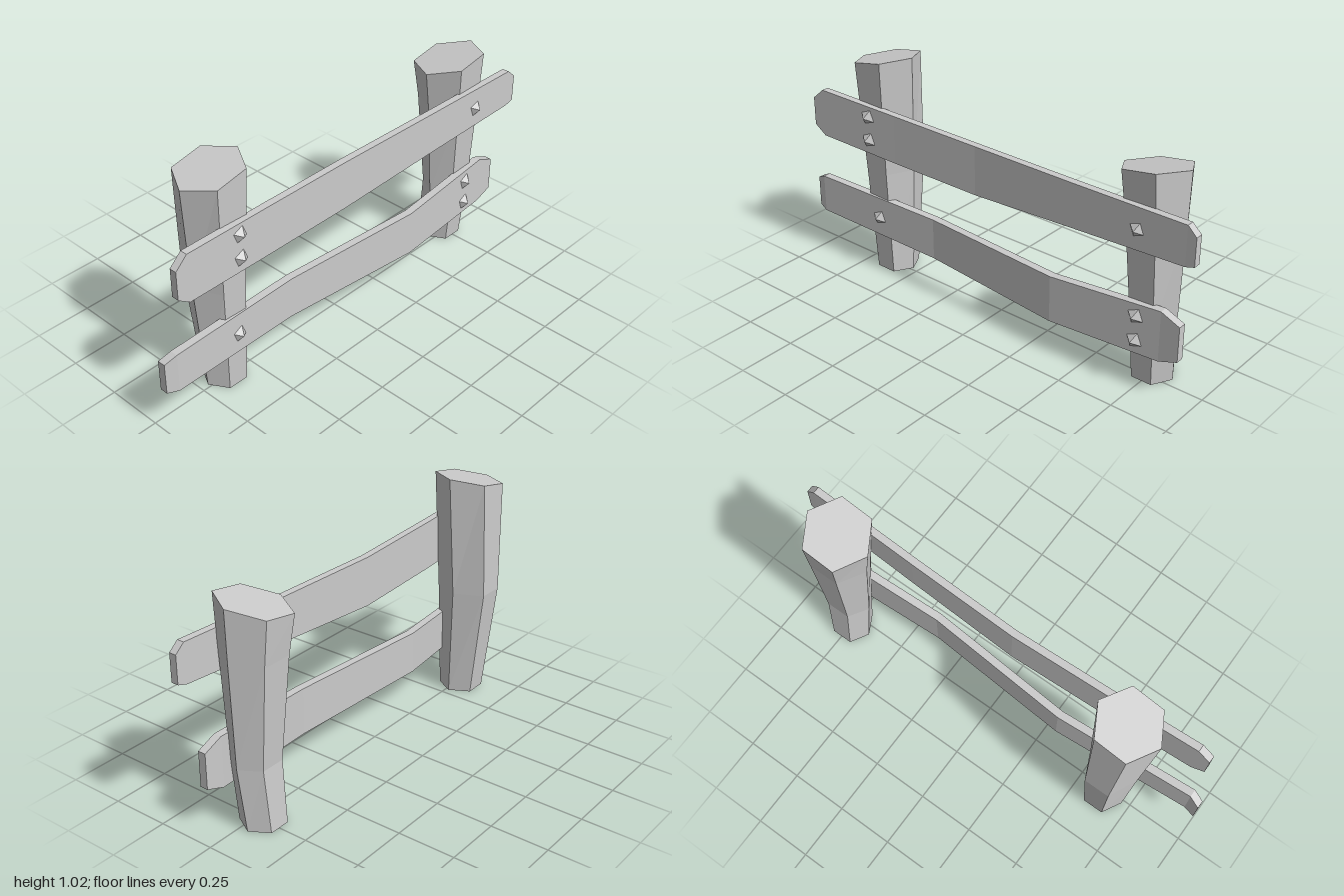
import * as THREE from 'three';

const material = new THREE.MeshStandardMaterial({ color: 0xcccccc, flatShading: true });

// Skin a list of equal-sized point rings and cap both ends.
function loft(rings) {
  const pos = [];
  const tri = (a, b, c) => pos.push(...a, ...b, ...c);
  const n = rings[0].length;
  for (let i = 0; i < rings.length - 1; i++) {
    const lower = rings[i], upper = rings[i + 1];
    for (let j = 0; j < n; j++) {
      const k = (j + 1) % n;
      tri(lower[j], lower[k], upper[k]);
      tri(lower[j], upper[k], upper[j]);
    }
  }
  const first = rings[0], last = rings[rings.length - 1];
  for (let j = 1; j < n - 1; j++) {
    tri(first[0], first[j + 1], first[j]);
    tri(last[0], last[j], last[j + 1]);
  }
  const geometry = new THREE.BufferGeometry();
  geometry.setAttribute('position', new THREE.Float32BufferAttribute(pos, 3));
  geometry.computeVertexNormals();
  return geometry;
}

function addMesh(group, name, geometry) {
  const mesh = new THREE.Mesh(geometry, material);
  mesh.name = name;
  group.add(mesh);
  return mesh;
}

// Six-sided post; each section is [y, xMin, xMax, zFront, zMiddle, zBack],
// and the top section is tilted by slopes in x and z.
function postGeometry(sections, slopeX, slopeZ) {
  return loft(sections.map(([y, x0, x1, zf, zc, zb], i) => {
    const top = i === sections.length - 1;
    const mid = (x0 + x1) / 2, q = (x1 - x0) / 4;
    const ring = [[x1, zc], [mid + q, zb], [mid - q, zb], [x0, zc], [mid - q, zf], [mid + q, zf]];
    return ring.map(([x, z]) => [x, top ? y + slopeX * (x - mid) + slopeZ * z : y, z]);
  }));
}

// Warped plank; each section is [x, yLow, yHigh, zFront].
function railGeometry(sections, thickness) {
  return loft(sections.map(([x, lo, hi, zf]) => {
    const zb = zf - thickness;
    return [[x, hi, zb], [x, hi, zf], [x, lo, zf], [x, lo, zb]];
  }));
}

export function createModel() {
  const fence = new THREE.Group();
  fence.name = 'fence';

  // Posts
  addMesh(fence, 'rightPost', postGeometry([
    [0, -0.715, -0.53, 0.065, -0.015, -0.1],
    [0.49, -0.745, -0.52, 0.085, -0.03, -0.153],
    [0.99, -0.78, -0.495, 0.108, -0.015, -0.142],
  ], 0.2, 0.05));
  addMesh(fence, 'leftPost', postGeometry([
    [0, 0.655, 0.84, 0.045, -0.04, -0.12],
    [0.27, 0.643, 0.855, 0.068, -0.015, -0.1],
    [0.71, 0.605, 0.87, 0.096, -0.015, -0.13],
    [0.912, 0.58, 0.875, 0.112, -0.015, -0.147],
  ], 0.17, 0.17));

  // Rails
  addMesh(fence, 'upperRail', railGeometry([
    [-0.945, 0.645, 0.77, 0.138],
    [-0.89, 0.605, 0.818, 0.136],
    [-0.48, 0.588, 0.805, 0.12],
    [-0.05, 0.577, 0.793, 0.107],
    [0.45, 0.607, 0.797, 0.12],
    [0.96, 0.637, 0.806, 0.136],
    [1.0, 0.65, 0.77, 0.138],
  ], 0.032));
  addMesh(fence, 'lowerRail', railGeometry([
    [-1.0, 0.212, 0.35, 0.093],
    [-0.95, 0.203, 0.376, 0.108],
    [-0.32, 0.167, 0.355, 0.072],
    [0.35, 0.151, 0.357, 0.124],
    [0.85, 0.163, 0.385, 0.096],
    [0.935, 0.195, 0.35, 0.097],
  ], 0.035));

  // Pyramid nail heads: x, y, z of the base
  const nailShape = new THREE.ConeGeometry(0.039, 0.03, 4).toNonIndexed();
  nailShape.rotateX(Math.PI / 2).rotateZ(-0.42);
  const nails = [
    [-0.63, 0.762, 0.125], [-0.63, 0.656, 0.125], [0.745, 0.71, 0.127],
    [-0.625, 0.27, 0.088], [0.74, 0.325, 0.102], [0.74, 0.217, 0.102],
  ];
  nails.forEach(([x, y, z], i) => {
    addMesh(fence, `nail${i + 1}`, nailShape).position.set(x, y, z + 0.013);
  });

  return fence;
}
